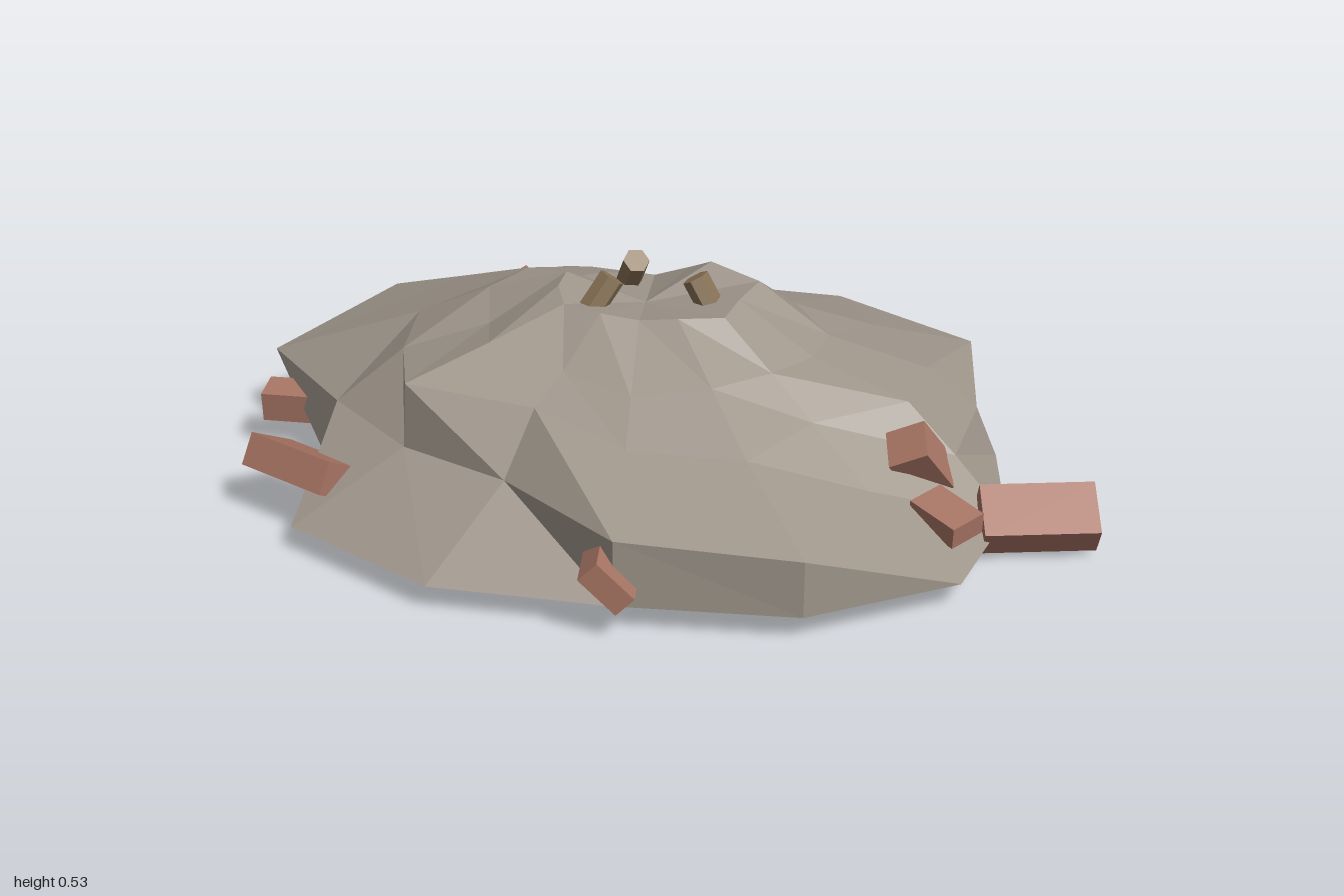
import * as THREE from 'three';

const material = (color, extra = {}) =>
  new THREE.MeshStandardMaterial({ color, flatShading: true, ...extra });

// Rings of the heap, from the ground up: radius and height along each of 14 rays
const RINGS = [
  {
    r: [0.84, 0.92, 0.91, 0.85, 0.93, 0.947, 0.755, 0.72, 0.82, 1.00, 1.06, 1.225, 0.95, 0.82],
    y: Array(14).fill(0.06),
  },
  {
    r: [0.72, 0.66, 0.915, 0.85, 0.61, 0.65, 0.72, 0.94, 0.85, 0.87, 0.85, 0.96, 0.945, 0.77],
    y: [0.19, 0.19, 0.19, 0.21, 0.20, 0.20, 0.20, 0.175, 0.25, 0.20, 0.20, 0.185, 0.19, 0.18],
  },
  {
    r: [0.61, 0.50, 0.60, 0.54, 0.48, 0.64, 0.56, 0.56, 0.60, 0.55, 0.52, 0.63, 0.65, 0.65],
    y: [0.30, 0.30, 0.29, 0.29, 0.33, 0.35, 0.33, 0.33, 0.34, 0.34, 0.30, 0.26, 0.28, 0.28],
  },
  {
    r: [0.39, 0.38, 0.40, 0.40, 0.36, 0.42, 0.36, 0.38, 0.38, 0.37, 0.34, 0.42, 0.42, 0.42],
    y: [0.37, 0.38, 0.38, 0.36, 0.38, 0.41, 0.39, 0.42, 0.42, 0.40, 0.38, 0.34, 0.37, 0.36],
  },
  {
    r: [0.22, 0.24, 0.20, 0.18, 0.20, 0.22, 0.20, 0.19, 0.20, 0.24, 0.25, 0.20, 0.18, 0.26],
    y: [0.48, 0.47, 0.47, 0.46, 0.47, 0.47, 0.48, 0.485, 0.45, 0.43, 0.42, 0.47, 0.51, 0.49],
  },
];

// Hollow faceted heap with a slightly sunken peak
function makeHeap() {
  const n = 14, positions = [], index = [];
  for (const ring of RINGS) {
    for (let k = 0; k < n; k++) {
      const t = (k / n) * Math.PI * 2;
      positions.push(-0.06 + ring.r[k] * Math.cos(t), ring.y[k], 0.12 + 0.8 * ring.r[k] * Math.sin(t));
    }
  }
  positions.push(-0.06, 0.44, 0.12);
  const apex = RINGS.length * n;
  for (let j = 0; j < RINGS.length; j++) {
    for (let k = 0; k < n; k++) {
      const a = j * n + k, b = j * n + (k + 1) % n;
      if (j === RINGS.length - 1) index.push(a, apex, b);
      else index.push(a, a + n, b + n, a, b + n, b);
    }
  }
  const geometry = new THREE.BufferGeometry();
  geometry.setAttribute('position', new THREE.Float32BufferAttribute(positions, 3));
  geometry.setIndex(index);
  geometry.computeVertexNormals();
  const heap = new THREE.Mesh(geometry, material(0x9f968b, { side: THREE.DoubleSide }));
  heap.name = 'rubbleHeap';
  return heap;
}

// Position, size and rotation of each brick
const BRICKS = [
  // around the rim
  [[0.855, 0.087, 0.145], [0.25, 0.08, 0.125], [0.6, 0.42, 0]],
  [[-0.70, 0.12, 0.55], [0.24, 0.075, 0.13], [-0.5, -0.3, 0]],
  [[-0.86, 0.11, 0.23], [0.2, 0.07, 0.08], [0.1, 0.2, 0]],
  [[0.69, 0.13, 0.29], [0.13, 0.05, 0.09], [0.1, -0.5, -0.15]],
  [[0.60, 0.20, 0.19], [0.09, 0.14, 0.09], [0.5, 0.4, 0.5]],
  [[0.115, 0.125, 0.77], [0.11, 0.055, 0.13], [0, 0.3, -0.8]],
  // pile at the back
  [[-0.73, 0.033, -0.43], [0.25, 0.06, 0.10], [0, 0.85, 0]],
  [[-0.70, 0.06, -0.435], [0.12, 0.06, 0.26], [0.05, 0.05, 0.3]],
  [[-0.68, 0.065, -0.47], [0.22, 0.06, 0.09], [0.2, 0.65, 0.1]],
  // inside the hollow
  [[-0.39, 0.28, -0.03], [0.28, 0.09, 0.11], [0.4, -0.785, -0.2]],
  [[0.04, 0.13, -0.49], [0.21, 0.06, 0.10], [0.1, -0.7, 0]],
  [[-0.17, 0.13, -0.44], [0.10, 0.10, 0.13], [0.2, 0.5, 0.2]],
  [[0.36, 0.17, -0.05], [0.16, 0.06, 0.09], [0.2, -0.8, 0.4]],
  [[0.50, 0.13, 0.11], [0.25, 0.07, 0.10], [0.1, -0.7, 0.1]],
  [[0.17, 0.15, 0.53], [0.15, 0.06, 0.09], [0.2, -0.7, 0.5]],
];

// Wooden posts: sunken end and exposed tip
const POSTS = [
  [[-0.33, 0.10, -0.24], [-0.11, 0.505, 0.05]],
  [[-0.35, 0.08, 0.40], [-0.115, 0.515, 0.18]],
  [[0.12, 0.40, 0.115], [0.055, 0.515, 0.115]],
];

function makePost([from, to], wood) {
  const a = new THREE.Vector3(...from), b = new THREE.Vector3(...to);
  const dir = b.clone().sub(a);
  const post = new THREE.Mesh(new THREE.CylinderGeometry(0.03, 0.03, dir.length(), 6), wood);
  post.position.copy(a).add(b).multiplyScalar(0.5);
  post.quaternion.setFromUnitVectors(new THREE.Vector3(0, 1, 0), dir.normalize());
  post.name = 'woodenPost';
  return post;
}

export function createModel() {
  const model = new THREE.Group();
  model.name = 'rubblePile';
  model.add(makeHeap());

  const clay = material(0xa87564), wood = material(0x8a7458);
  for (const [position, size, rotation] of BRICKS) {
    const brick = new THREE.Mesh(new THREE.BoxGeometry(...size), clay);
    brick.position.set(...position);
    brick.rotation.set(...rotation, 'YXZ');
    brick.name = 'brick';
    model.add(brick);
  }
  for (const ends of POSTS) model.add(makePost(ends, wood));
  return model;
}
